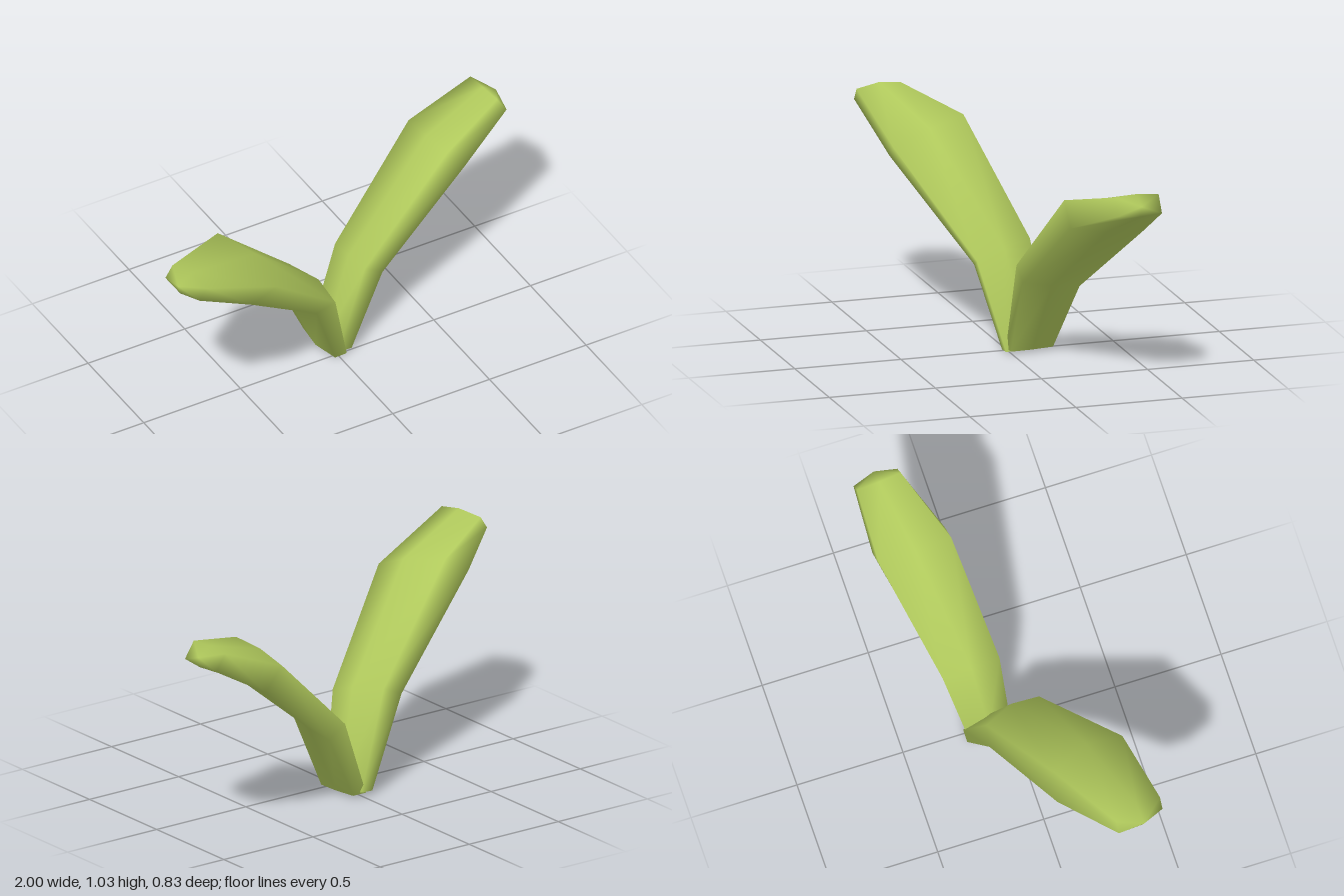
import * as THREE from 'three';

const SIDES = 6;

// Each ring: centre, half-width vector (towards the front edge), half-thickness vector
const leftRings = [
  [[0.025, 0.014, -0.098], [0.012, 0, 0.103], [0.042, 0, 0]],
  [[0.188, 0.387, -0.132], [0, 0.02, 0.134], [0.053, -0.033, 0]],
  [[0.655, 0.782, -0.243], [0, 0.02, 0.171], [0.055, -0.063, 0]],
  [[0.96, 0.905, -0.307], [0.008, 0.003, 0.106], [0.029, -0.045, 0]],
];
const rightRings = [
  [[-0.005, 0.013, -0.098], [0.015, -0.01, 0.115], [0.05, 0.002, 0]],
  [[-0.16, 0.417, -0.028], [0.04, -0.032, 0.137], [0.074, 0.032, 0.012]],
  [[-0.63, 0.85, 0.175], [0.05, -0.05, 0.18], [0.1, 0.057, 0.015]],
  [[-0.955, 0.982, 0.302], [0.025, 0, 0.111], [0.03, 0.047, 0]],
];

// Six-sided section: two corners on each edge, one ridge point above and below
function ringPoints([c, w, t], edge) {
  const section = [[1, -edge], [1, edge], [0, 1], [-1, edge], [-1, -edge], [0, -1]];
  return section.flatMap(([u, v]) => c.map((p, k) => p + w[k] * u + t[k] * v));
}

// Lofts the rings into a smooth blade with a blunt tip and a closed base
function leafGeometry(rings, tip, edge) {
  const pos = [...rings.flatMap((ring) => ringPoints(ring, edge)), ...tip];
  const idx = [];
  const last = (rings.length - 1) * SIDES, apex = rings.length * SIDES;
  for (let j = 0; j < SIDES; j++) {
    const n = (j + 1) % SIDES;
    for (let lo = 0; lo < last; lo += SIDES) {
      const hi = lo + SIDES;
      idx.push(lo + j, lo + n, hi + n, lo + j, hi + n, hi + j);
    }
    idx.push(last + j, last + n, apex);
  }
  for (let j = 1; j < SIDES - 1; j++) idx.push(0, j + 1, j);

  const geo = new THREE.BufferGeometry();
  geo.setAttribute('position', new THREE.Float32BufferAttribute(pos, 3));
  geo.setIndex(idx);
  geo.computeVertexNormals();
  return geo;
}

export function createModel() {
  const group = new THREE.Group();
  group.name = 'sprout';
  const leafGreen = new THREE.MeshStandardMaterial({ color: 0xb0c95c });
  leafGreen.name = 'leafGreen';

  const leaves = [
    ['leftLeaf', leftRings, [1.0, 0.908, -0.31], 0.85],
    ['rightLeaf', rightRings, [-1.0, 0.985, 0.31], 0.6],
  ];
  for (const [name, rings, tip, edge] of leaves) {
    const leaf = new THREE.Mesh(leafGeometry(rings, tip, edge), leafGreen);
    leaf.name = name;
    group.add(leaf);
  }
  return group;
}
